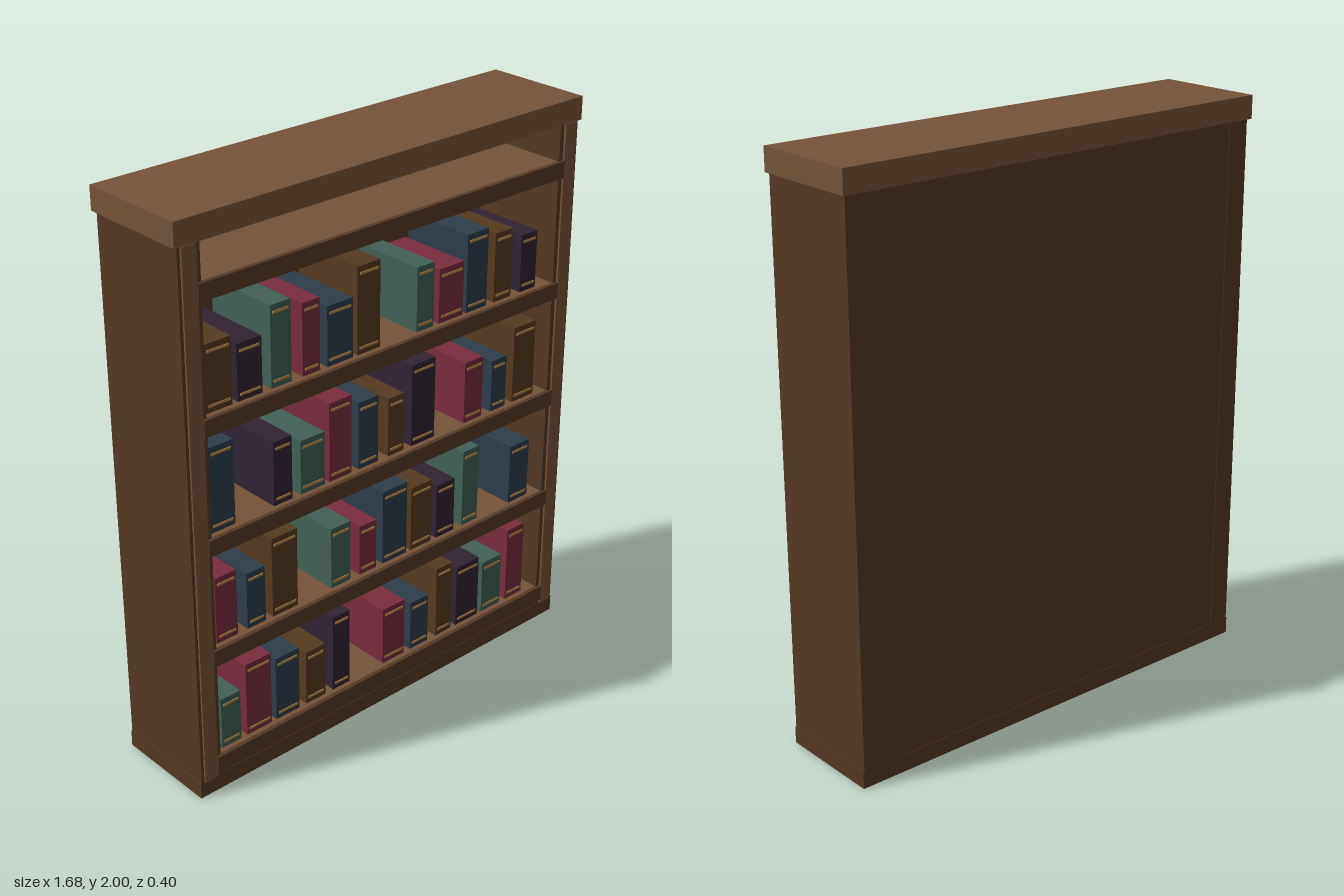
import * as THREE from 'three';

const mat = (name, color) => {
  const m = new THREE.MeshStandardMaterial({ color });
  m.name = name;
  return m;
};

export function createModel() {
  const lightWood = mat('light wood', 0x765337);
  const darkWood = mat('dark wood', 0x543a23);
  const gold = mat('gold', 0xb08243);
  const covers = {
    red: mat('red cover', 0x792d3f),
    blue: mat('blue cover', 0x2e3d4a),
    green: mat('green cover', 0x426057),
    plum: mat('plum cover', 0x302333),
    brown: mat('brown cover', 0x553b20),
  };

  const bookcase = new THREE.Group();
  bookcase.name = 'bookcase';

  // Box given by its lower and upper limits on each axis
  const box = (parent, name, material, [x0, x1], [y0, y1], [z0, z1]) => {
    const mesh = new THREE.Mesh(new THREE.BoxGeometry(x1 - x0, y1 - y0, z1 - z0), material);
    mesh.position.set((x0 + x1) / 2, (y0 + y1) / 2, (z0 + z1) / 2);
    mesh.name = name;
    parent.add(mesh);
  };

  // Carcass
  box(bookcase, 'topCap', lightWood, [-0.838, 0.838], [1.92, 2], [-0.2, 0.195]);
  box(bookcase, 'plinth', darkWood, [-0.83, 0.83], [0, 0.06], [-0.19, 0.19]);
  box(bookcase, 'plinthRail', darkWood, [-0.745, 0.745], [0.06, 0.08], [-0.17, 0.188]);
  box(bookcase, 'backPanel', darkWood, [-0.745, 0.745], [0.06, 1.92], [-0.188, -0.165]);
  for (const s of [-1, 1]) {
    const span = (a, b) => [Math.min(s * a, s * b), Math.max(s * a, s * b)];
    const side = s > 0 ? 'left' : 'right';
    box(bookcase, side + 'SidePanel', darkWood, span(0.745, 0.826), [0.06, 1.92], [-0.19, 0.19]);
    box(bookcase, side + 'FrontTrim', lightWood, span(0.762, 0.815), [0.06, 1.92], [0.19, 0.197]);
  }

  // Shelves: light boards with a dark front lip
  for (const top of [0.135, 0.545, 0.95, 1.36, 1.795]) {
    box(bookcase, 'shelfBoard', lightWood, [-0.745, 0.745], [top - 0.056, top], [-0.165, 0.185]);
    box(bookcase, 'shelfLip', darkWood, [-0.762, 0.762], [top - 0.058, top], [0.185, 0.2]);
  }

  // Books by shelf: cover, left edge, right edge, top
  const rows = [
    [0.135, [
      ['green', -0.72, -0.64, 0.325], ['red', -0.615, -0.51, 0.41], ['blue', -0.49, -0.39, 0.375],
      ['brown', -0.36, -0.275, 0.34], ['plum', -0.24, -0.165, 0.425], ['red', -0.01, 0.09, 0.355],
      ['blue', 0.12, 0.205, 0.325], ['brown', 0.245, 0.32, 0.41], ['plum', 0.345, 0.455, 0.375],
      ['green', 0.475, 0.57, 0.34], ['red', 0.6, 0.685, 0.425]]],
    [0.545, [
      ['red', -0.725, -0.64, 0.785], ['blue', -0.6, -0.525, 0.75], ['brown', -0.495, -0.39, 0.835],
      ['green', -0.245, -0.16, 0.77], ['red', -0.12, -0.045, 0.73], ['blue', -0.015, 0.095, 0.82],
      ['brown', 0.115, 0.21, 0.785], ['plum', 0.235, 0.32, 0.75], ['green', 0.36, 0.435, 0.835],
      ['blue', 0.595, 0.69, 0.77]]],
    [0.95, [
      ['blue', -0.73, -0.635, 1.245], ['plum', -0.48, -0.405, 1.175], ['green', -0.37, -0.27, 1.14],
      ['red', -0.25, -0.155, 1.23], ['blue', -0.125, -0.04, 1.19], ['brown', 0.005, 0.075, 1.16],
      ['plum', 0.11, 0.215, 1.245], ['red', 0.355, 0.44, 1.175], ['blue', 0.485, 0.555, 1.14],
      ['brown', 0.59, 0.695, 1.23]]],
    [1.36, [
      ['brown', -0.73, -0.63, 1.585], ['plum', -0.61, -0.515, 1.55], ['green', -0.48, -0.4, 1.635],
      ['red', -0.355, -0.285, 1.605], ['blue', -0.255, -0.15, 1.565], ['brown', -0.13, -0.035, 1.66],
      ['green', 0.125, 0.2, 1.585], ['red', 0.225, 0.335, 1.55], ['blue', 0.35, 0.445, 1.635],
      ['brown', 0.48, 0.56, 1.605], ['plum', 0.605, 0.68, 1.565]]],
  ];
  for (const [base, books] of rows) {
    const row = new THREE.Group();
    row.name = 'bookRow';
    bookcase.add(row);
    for (const [cover, x0, x1, top] of books) {
      const book = new THREE.Group();
      book.name = cover + 'Book';
      row.add(book);
      box(book, 'cover', covers[cover], [x0, x1], [base, top], [-0.11, 0.168]);
      // Gold bands across the spine
      for (const y of [base + 0.022, top - 0.025]) {
        box(book, 'spineBand', gold, [x0 + 0.009, x1 - 0.009], [y - 0.004, y + 0.004], [0.166, 0.171]);
      }
    }
  }
  return bookcase;
}
